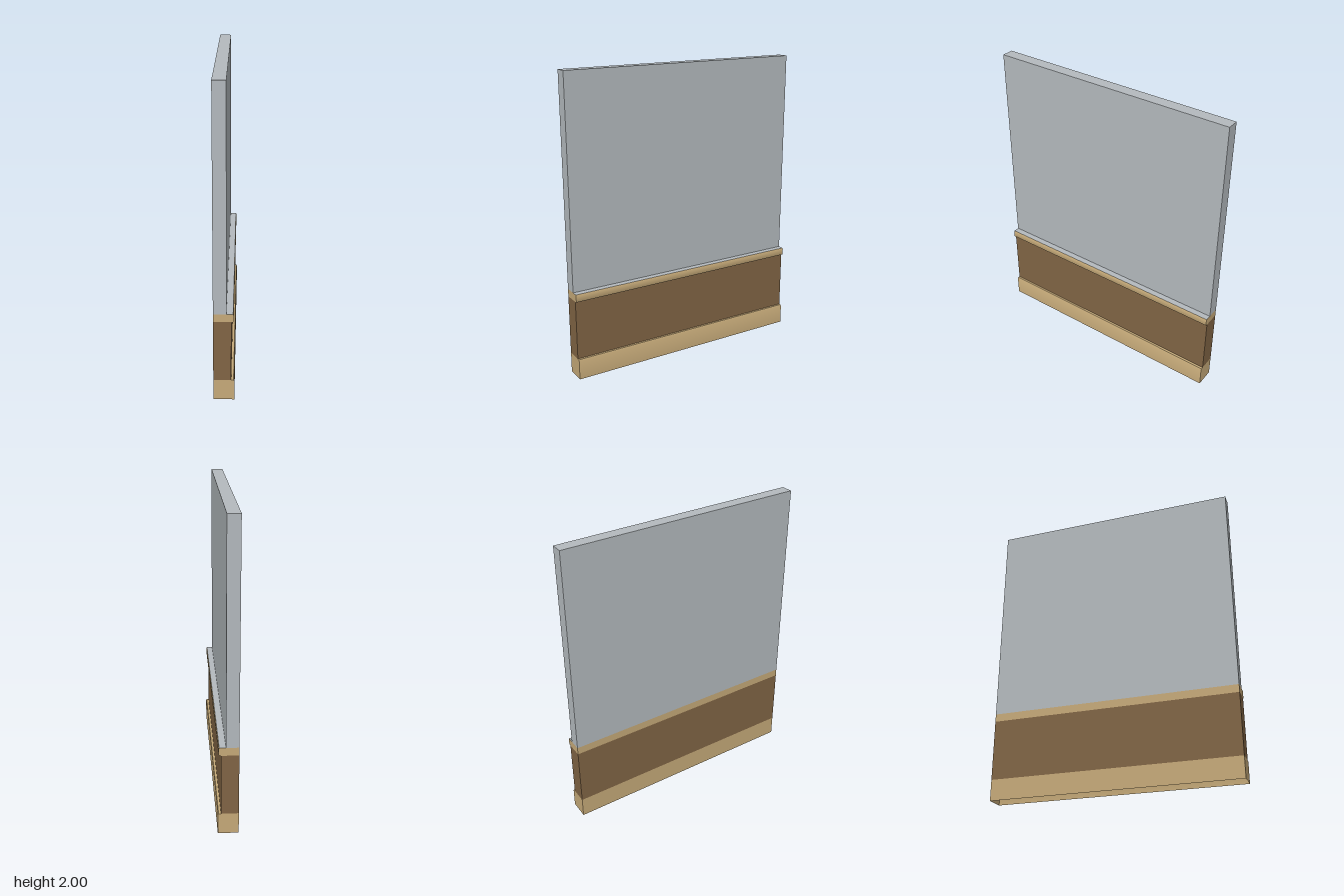
import * as THREE from 'three';

const HALF = 0.835;   // half length along z
const BACK = -0.065;  // common rear plane

// Sweeps a profile run along z, with normals smoothed within the run.
function sweep(run) {
  const pos = [], nor = [], idx = [];
  const v = run.map(([x, y]) => new THREE.Vector2(x, y));
  const segN = v.slice(1).map((p, i) => new THREE.Vector2(p.y - v[i].y, v[i].x - p.x).normalize());
  v.forEach((p, i) => {
    const n = new THREE.Vector2();
    if (i > 0) n.add(segN[i - 1]);
    if (i < segN.length) n.add(segN[i]);
    n.normalize();
    for (const z of [HALF, -HALF]) {
      pos.push(p.x, p.y, z);
      nor.push(n.x, n.y, 0);
    }
    if (i > 0) {
      const a = 2 * i - 2;
      idx.push(a, a + 1, a + 3, a, a + 3, a + 2);
    }
  });
  const g = new THREE.BufferGeometry();
  g.setAttribute('position', new THREE.Float32BufferAttribute(pos, 3));
  g.setAttribute('normal', new THREE.Float32BufferAttribute(nor, 3));
  g.setIndex(idx);
  return g;
}

// One horizontal band: swept faces, rear face and two end caps.
function band(name, material, runs, y0, y1) {
  const group = new THREE.Group();
  group.name = name;
  const add = (part, geometry) => {
    const mesh = new THREE.Mesh(geometry, material);
    mesh.name = name + part;
    group.add(mesh);
    return mesh;
  };
  runs.forEach((run) => add('Face', sweep(run)));
  add('Back', sweep([[BACK, y1], [BACK, y0]]));
  const outline = [...runs.flat(), [BACK, y1], [BACK, y0]].map(([x, y]) => new THREE.Vector2(x, y));
  for (const z of [HALF, -HALF]) add('End', new THREE.ShapeGeometry(new THREE.Shape(outline))).position.z = z;
  return group;
}

export function createModel() {
  const paint = (name, color) => {
    const m = new THREE.MeshStandardMaterial({ color, side: THREE.DoubleSide });
    m.name = name;
    return m;
  };
  const plaster = paint('grey plaster', 0xb4babe);
  const trim = paint('light wood', 0xc6aa79);
  const wood = paint('dark wood', 0x816545);

  const model = new THREE.Group();
  model.name = 'wainscotWall';
  model.add(
    // Skirting board, open underneath, with an eased top edge
    band('skirting', trim, [
      [[0.065, 0], [0.065, 0.13], [0.06, 0.14]],
      [[0.06, 0.14], [0.045, 0.14]],
    ], 0, 0.14),
    // Wood panel
    band('panel', wood, [[[0.045, 0.14], [0.045, 0.543]]], 0.14, 0.543),
    // Dado rail with eased edges
    band('rail', trim, [
      [[0.045, 0.543], [0.056, 0.543]],
      [[0.056, 0.543], [0.06, 0.552], [0.06, 0.588], [0.056, 0.595]],
    ], 0.543, 0.595),
    // Upper wall with the ledge on top of the rail
    band('upperWall', plaster, [
      [[0.056, 0.595], [0.015, 0.595]],
      [[0.015, 0.595], [0.015, 2]],
      [[0.015, 2], [BACK, 2]],
    ], 0.595, 2),
  );
  return model;
}
